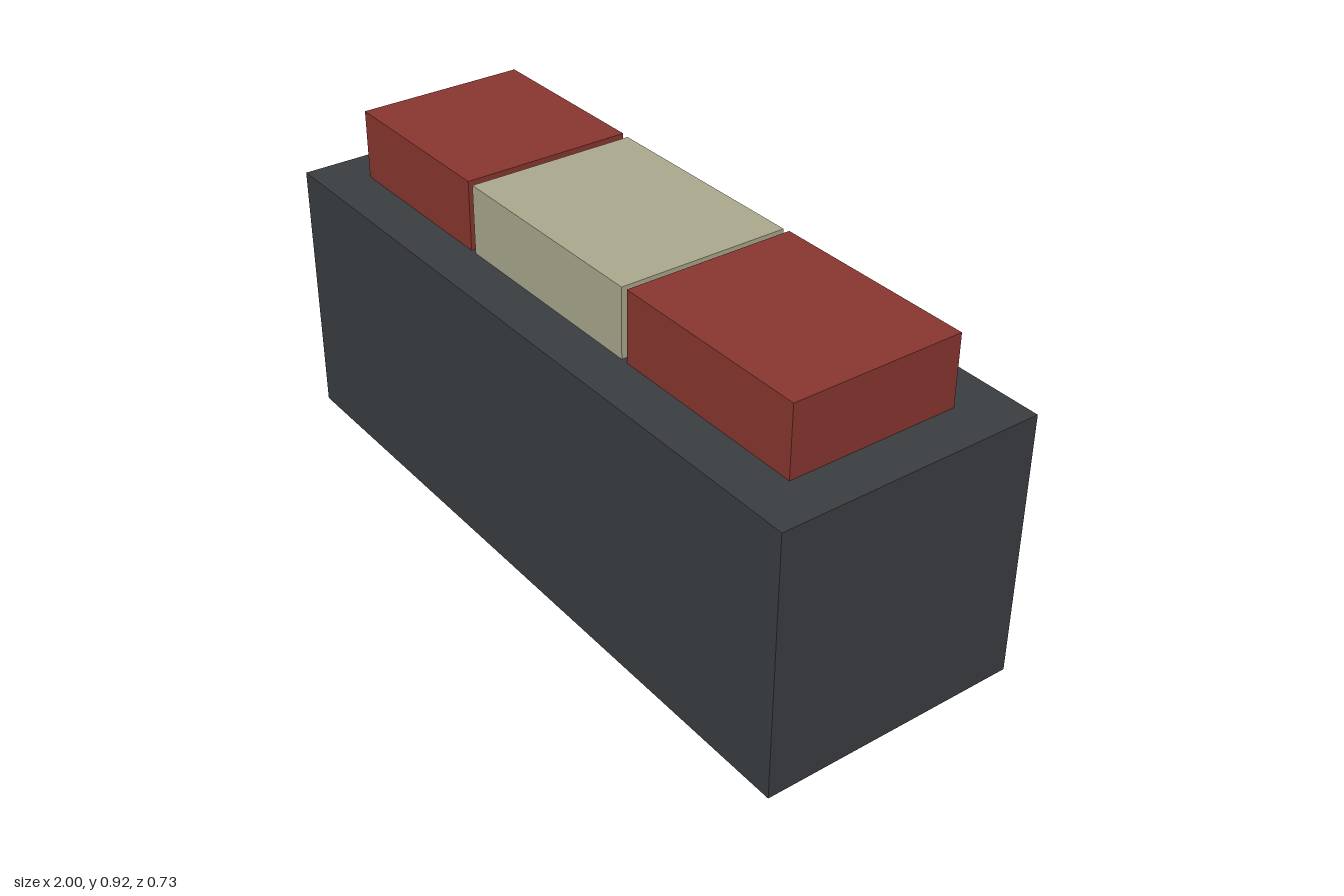
import * as THREE from 'three';

const BASE_TOP = 0.725;

export function createModel() {
  const model = new THREE.Group();
  model.name = 'blockStand';

  const dark = new THREE.MeshStandardMaterial({ color: 0x3b3e41 });
  const red = new THREE.MeshStandardMaterial({ color: 0x8a362f });
  const cream = new THREE.MeshStandardMaterial({ color: 0xaba98d });

  // Box given by its x range, y range and depth, centred on z
  function addBox(name, x0, x1, y0, y1, depth, material) {
    const mesh = new THREE.Mesh(new THREE.BoxGeometry(x1 - x0, y1 - y0, depth), material);
    mesh.position.set((x0 + x1) / 2, (y0 + y1) / 2, 0);
    mesh.name = name;
    model.add(mesh);
  }

  // Plain base block
  addBox('base', -1, 1, 0, BASE_TOP, 0.725, dark);

  // Row of three blocks on top, separated by narrow gaps
  addBox('rightBlock', -0.876, -0.363, BASE_TOP, 0.917, 0.47, red);
  addBox('middleBlock', -0.344, 0.28, BASE_TOP, 0.914, 0.47, cream);
  addBox('leftBlock', 0.3, 0.872, BASE_TOP, 0.917, 0.47, red);

  return model;
}
